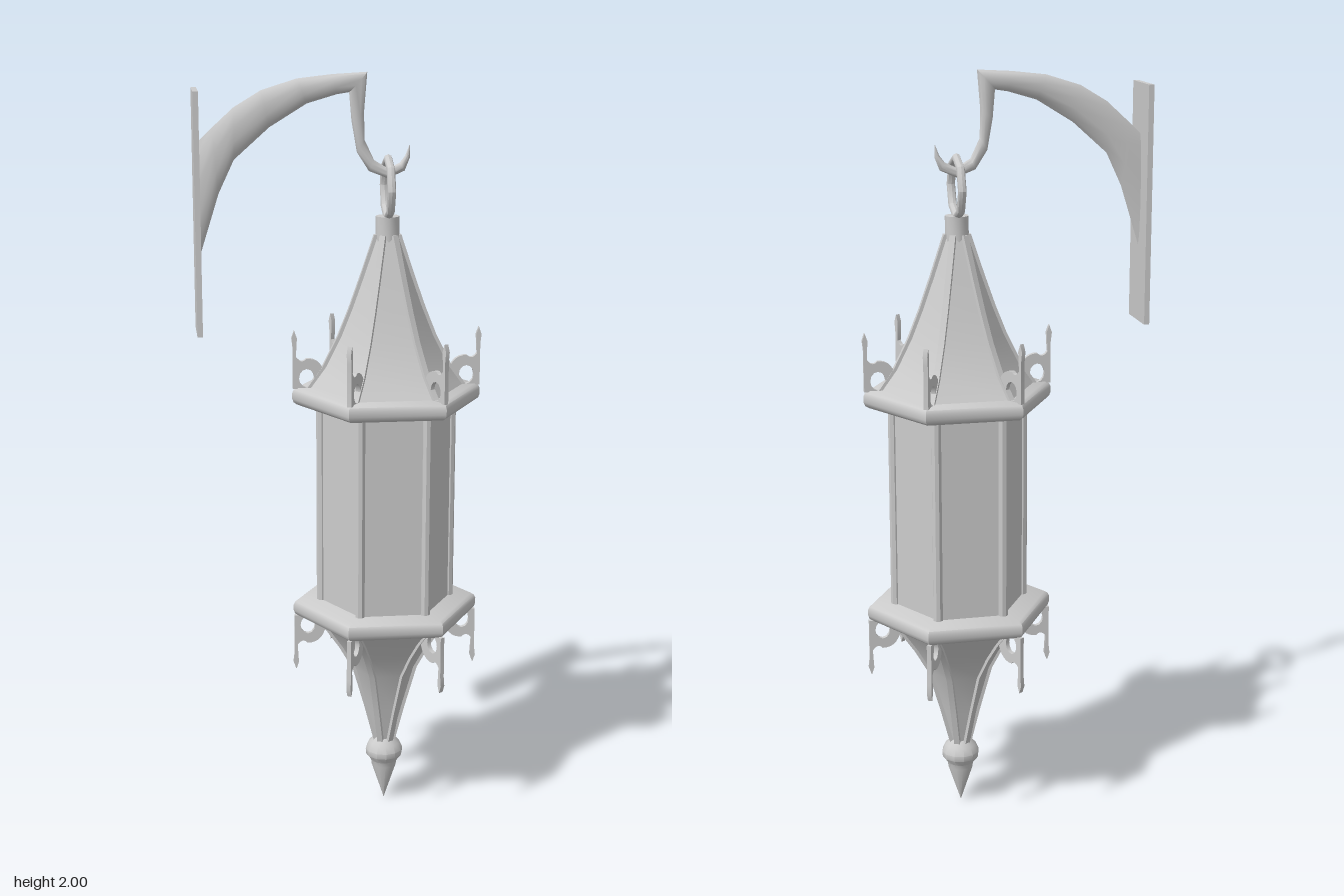
import * as THREE from 'three';
import { toCreasedNormals } from 'three/addons/utils/BufferGeometryUtils.js';

const AXIS = 0.122; // x of the hanging lantern
const mat = new THREE.MeshStandardMaterial({ color: 0xcccccc, side: THREE.DoubleSide });

function add(parent, name, geo, crease = 0.7) {
  const mesh = new THREE.Mesh(toCreasedNormals(geo.index ? geo.toNonIndexed() : geo, crease), mat);
  mesh.name = name;
  parent.add(mesh);
  return mesh;
}

// Turned profile, [radius, y] from bottom to top; a corner points at +x
function turned(profile, sides = 6) {
  return new THREE.LatheGeometry(profile.map(p => new THREE.Vector2(...p)), sides, Math.PI / 2);
}

// Flat plate in the radius/y plane, centred on its thickness
function plate(shape, width) {
  return new THREE.ExtrudeGeometry(shape, { depth: width, bevelEnabled: false, curveSegments: 6 })
    .translate(0, 0, -width / 2);
}

// Repeat a geometry at the six corners
function sixfold(parent, name, geo) {
  for (let k = 0; k < 6; k++) add(parent, name + (k + 1), geo).rotation.y = k * Math.PI / 3;
}

// Rib lying along a sloping corner
function ribShape(profile) {
  const outer = profile.map(([r, y]) => new THREE.Vector2(r + 0.005, y));
  const inner = profile.map(([r, y]) => new THREE.Vector2(Math.max(r - 0.015, 0.005), y)).reverse();
  return new THREE.Shape([...outer, ...inner]);
}

// Corner ornament: upright spike with a pierced scroll leaning to the roof
function ornament(dir, y0) {
  const g = new THREE.Shape();
  g.moveTo(0.247, 0);
  g.lineTo(0.247, 0.11);
  g.lineTo(0.25, 0.135);
  g.lineTo(0.243, 0.155);
  g.lineTo(0.236, 0.135);
  g.lineTo(0.239, 0.085);
  g.quadraticCurveTo(0.225, 0.065, 0.212, 0.08);
  g.quadraticCurveTo(0.178, 0.082, 0.165, 0.045);
  g.lineTo(0.16, 0);
  const hole = new THREE.Path();
  hole.absellipse(0.211, 0.028, 0.02, 0.025, 0, Math.PI * 2, true);
  g.holes.push(hole);
  const geo = plate(g, 0.012);
  if (dir < 0) geo.rotateX(Math.PI);
  return geo.translate(0, y0, 0);
}

// Oval sections between paired upper and lower edge points
function loft(stations, sides = 10) {
  const pos = [], idx = [];
  for (const [tx, ty, bx, by, hz] of stations) {
    for (let j = 0; j < sides; j++) {
      const a = j / sides * Math.PI * 2, c = Math.cos(a) / 2;
      pos.push((tx + bx) / 2 + (tx - bx) * c, (ty + by) / 2 + (ty - by) * c, hz * Math.sin(a));
    }
  }
  for (let i = 0; i < stations.length - 1; i++) {
    for (let j = 0; j < sides; j++) {
      const a = i * sides + j, b = i * sides + (j + 1) % sides;
      idx.push(a, b, a + sides, b, b + sides, a + sides);
    }
  }
  const geo = new THREE.BufferGeometry();
  geo.setAttribute('position', new THREE.Float32BufferAttribute(pos, 3));
  geo.setIndex(idx);
  return geo;
}

export function createModel() {
  const model = new THREE.Group();
  model.name = 'wallLantern';

  // Wall bracket
  add(model, 'wallPlate', new THREE.BoxGeometry(0.014, 0.615, 0.14).translate(-0.366, 1.653, 0));
  add(model, 'bracketArm', loft([
    [-0.362, 1.83, -0.362, 1.535, 0.016],
    [-0.325, 1.865, -0.31, 1.7, 0.016],
    [-0.27, 1.915, -0.27, 1.785, 0.016],
    [-0.2, 1.957, -0.18, 1.865, 0.016],
    [-0.11, 1.985, -0.085, 1.923, 0.016],
    [-0.02, 1.995, -0.01, 1.945, 0.016],
    [0.068, 2.0, 0.022, 1.95, 0.015],
    [0.06, 1.9, 0.028, 1.88, 0.012],
    [0.062, 1.83, 0.042, 1.8, 0.01],
    [0.086, 1.78, 0.073, 1.752, 0.009],
    [0.122, 1.758, 0.122, 1.733, 0.009],
    [0.152, 1.772, 0.165, 1.752, 0.008],
    [0.166, 1.79, 0.178, 1.785, 0.005],
    [0.176, 1.816, 0.178, 1.816, 0.001],
  ]), 0.9);

  const lantern = new THREE.Group();
  lantern.name = 'lantern';
  lantern.position.x = AXIS;
  model.add(lantern);

  // Hanging ring
  add(lantern, 'hangingRing', new THREE.TorusGeometry(0.075, 0.011, 8, 8)
    .rotateY(Math.PI / 2).translate(0, 1.708, 0), 0.9);

  // Roof and lower cone
  const roof = [[0.205, 1.19], [0.165, 1.245], [0.125, 1.325], [0.095, 1.4], [0.065, 1.485], [0.03, 1.59]];
  const cone = [[0.024, 0.18], [0.05, 0.28], [0.083, 0.395], [0.12, 0.46], [0.155, 0.51], [0.195, 0.557]];
  add(lantern, 'roof', turned(roof));
  add(lantern, 'roofNeck', turned([[0.031, 1.57], [0.031, 1.637], [0, 1.637]], 12));
  add(lantern, 'lowerCone', turned(cone));
  sixfold(lantern, 'roofRib', plate(ribShape(roof), 0.016));
  sixfold(lantern, 'coneRib', plate(ribShape(cone), 0.016));

  // Hexagonal rims
  for (const [name, y] of [['upperRim', 1.145], ['lowerRim', 0.556]]) {
    add(lantern, name, turned([
      [0, y], [0.236, y], [0.245, y + 0.006], [0.249, y + 0.016],
      [0.249, y + 0.031], [0.245, y + 0.04], [0.236, y + 0.046], [0, y + 0.046],
    ]), 0.8);
  }

  // Glazed body with corner posts
  add(lantern, 'glassPanels', turned([[0.176, 0.595], [0.176, 1.15]]));
  sixfold(lantern, 'cornerPost', new THREE.CylinderGeometry(0.013, 0.013, 0.555, 8)
    .translate(0.173, 0.872, 0));

  // Corner ornaments, upright above and inverted below
  sixfold(lantern, 'upperOrnament', ornament(1, 1.188));
  sixfold(lantern, 'lowerOrnament', ornament(-1, 0.558));

  // Pointed finial
  add(lantern, 'finial', turned([
    [0, 0.005], [0.034, 0.108], [0.036, 0.122], [0.05, 0.14], [0.051, 0.155],
    [0.042, 0.175], [0.025, 0.19], [0, 0.192],
  ], 12), 0.6);

  return model;
}
